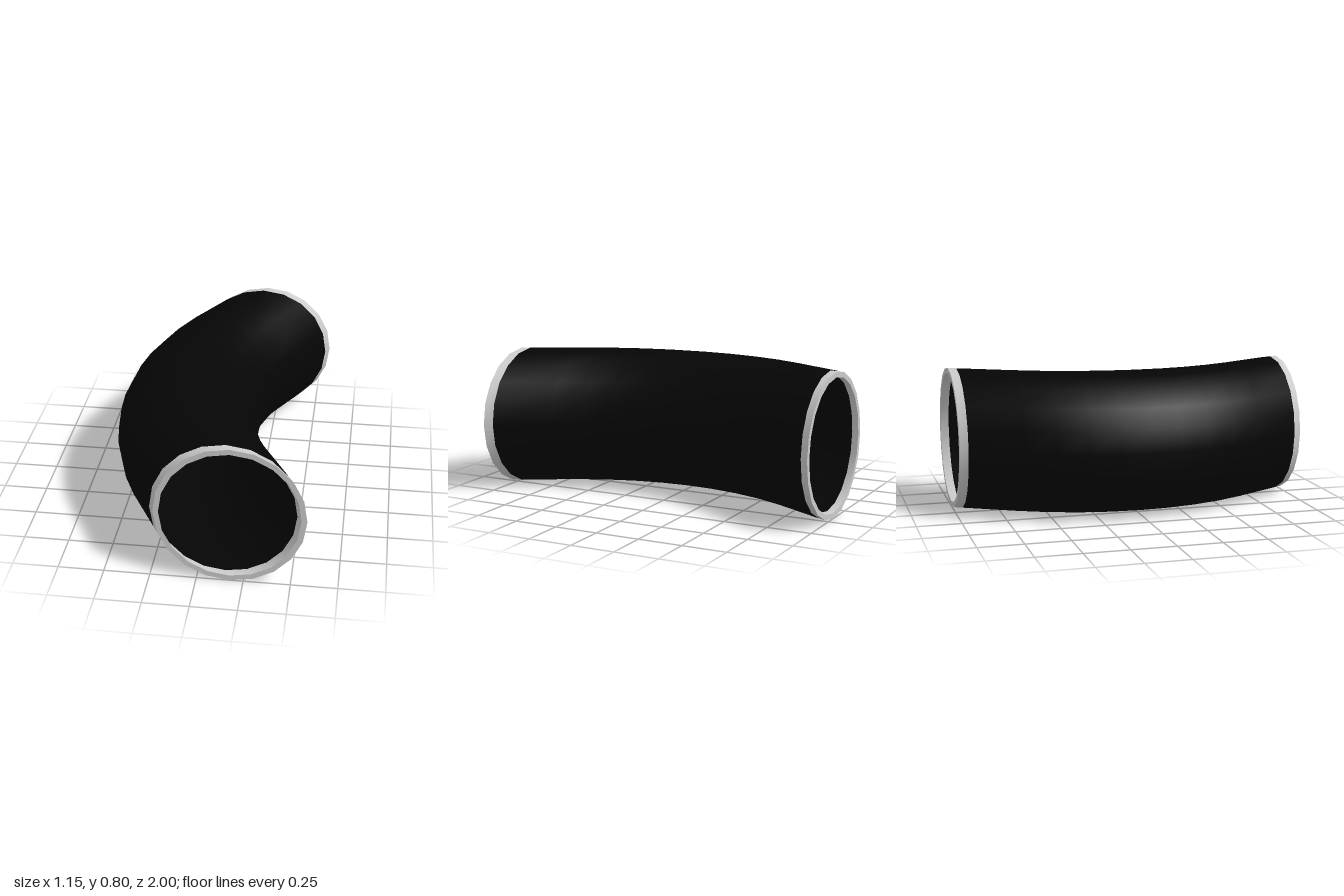
import * as THREE from 'three';

const SIDES = 20, OUTER = 0.402, INNER = 0.372, BEND = 1.407;
const ARC_END = 2 / 3, BAND = 0.955;

// Sideways position of the pipe's centre line: an arc with straight ends
function centreX(z) {
  const a = Math.abs(z);
  const sag = (t) => BEND - Math.sqrt(BEND * BEND - t * t);
  const arc = sag(Math.min(a, ARC_END));
  const slope = (0.351 - sag(ARC_END)) / (1 - ARC_END);
  return -0.1755 + arc + Math.max(0, a - ARC_END) * slope;
}

// Skin through upright circular sections, each given as [z, radius]
function skin(sections) {
  const pos = [], idx = [];
  const row = SIDES + 1;
  sections.forEach(([z, r], i) => {
    for (let j = 0; j <= SIDES; j++) {
      const a = ((j % SIDES) / SIDES) * Math.PI * 2;
      pos.push(centreX(z) + r * Math.cos(a), OUTER + r * Math.sin(a), z);
      if (i > 0 && j < SIDES) {
        const p = (i - 1) * row + j, q = p + row;
        idx.push(p, p + 1, q, p + 1, q + 1, q);
      }
    }
  });
  const g = new THREE.BufferGeometry();
  g.setAttribute('position', new THREE.Float32BufferAttribute(pos, 3));
  g.setIndex(idx);
  g.computeVertexNormals();
  // Weld the normals along the seam
  const n = g.attributes.normal, v = new THREE.Vector3(), w = new THREE.Vector3();
  for (let i = 0; i < sections.length; i++) {
    const s = i * row, e = s + SIDES;
    v.fromBufferAttribute(n, s).add(w.fromBufferAttribute(n, e)).normalize();
    n.setXYZ(s, v.x, v.y, v.z);
    n.setXYZ(e, v.x, v.y, v.z);
  }
  return g;
}

export function createModel() {
  const model = new THREE.Group();
  const black = new THREE.MeshStandardMaterial({ color: 0x050505 });
  const grey = new THREE.MeshStandardMaterial({ color: 0xcccccc });
  const add = (parent, name, sections, material) => {
    const mesh = new THREE.Mesh(skin(sections), material);
    mesh.name = name;
    parent.add(mesh);
  };

  // Bent pipe wall, outside and inside
  const stations = [-BAND];
  for (let i = -4; i <= 4; i++) stations.push(i / 6);
  stations.push(BAND);
  const pipe = new THREE.Group();
  pipe.name = 'bentPipe';
  add(pipe, 'outerWall', stations.map((z) => [z, OUTER]), black);
  add(pipe, 'innerWall', stations.map((z) => [z, INNER]).reverse(), black);
  model.add(pipe);

  // Grey bands with flat rims at both open ends
  for (const end of [1, -1]) {
    const band = new THREE.Group();
    band.name = end > 0 ? 'frontBand' : 'backBand';
    const order = (list) => (end > 0 ? list : list.reverse());
    add(band, 'bandOutside', order([[end * BAND, OUTER], [end, OUTER]]), grey);
    add(band, 'bandRim', order([[end, OUTER], [end, INNER]]), grey);
    add(band, 'bandInside', order([[end, INNER], [end * BAND, INNER]]), grey);
    model.add(band);
  }
  return model;
}
